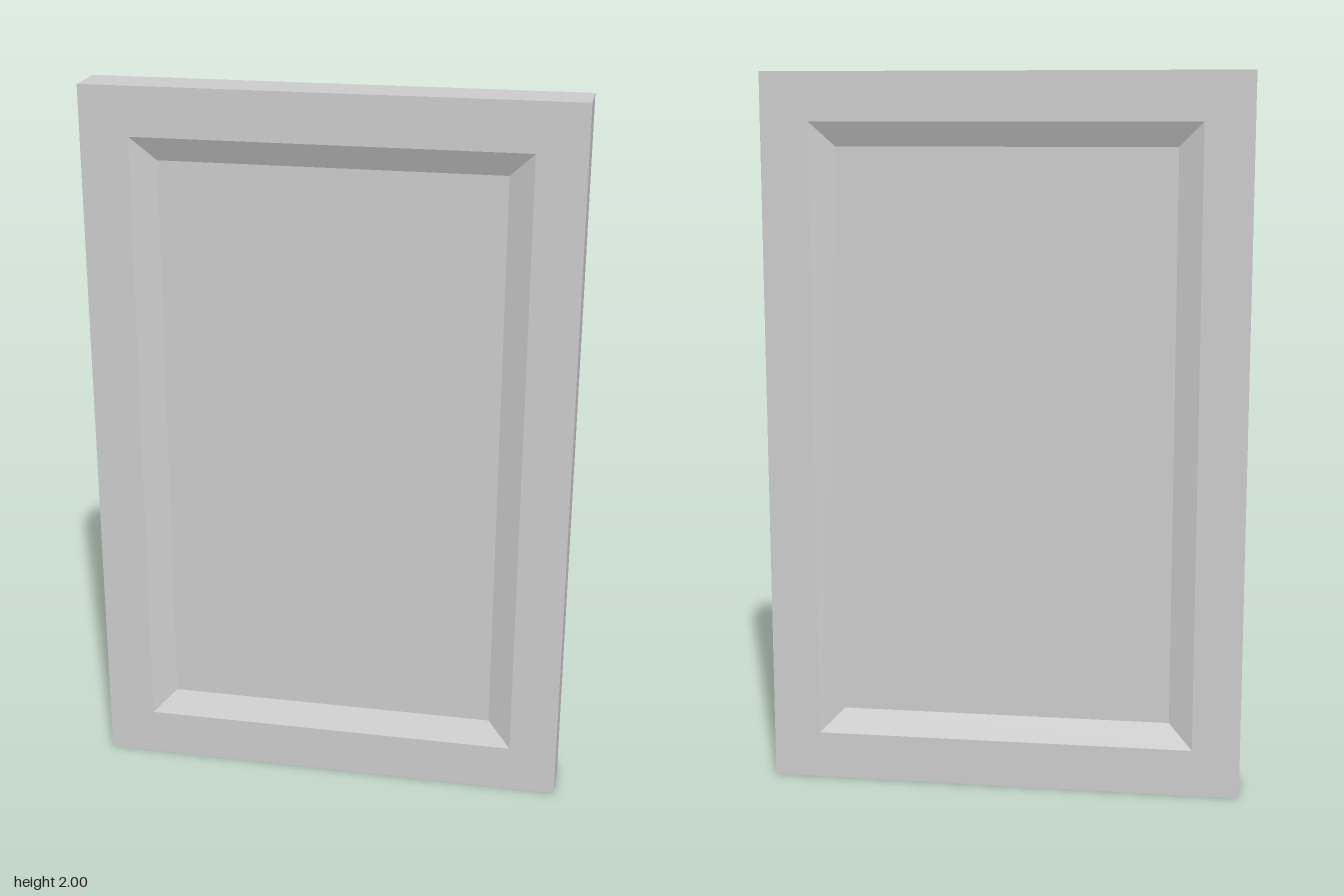
import * as THREE from 'three';

const W = 4 / 3, H = 2, T = 2 / 15; // overall width, height, thickness

// Rectangular ring of corners, counter-clockwise seen from the front
function ring(inset, z) {
  const x = W / 2 - inset, y0 = inset, y1 = H - inset;
  return [[-x, y0, z], [x, y0, z], [x, y1, z], [-x, y1, z]];
}

// Flat-shaded mesh from a list of four-cornered faces
function quadMesh(name, quads, material) {
  const pos = [];
  for (const [a, b, c, d] of quads) pos.push(...a, ...b, ...c, ...a, ...c, ...d);
  const geometry = new THREE.BufferGeometry();
  geometry.setAttribute('position', new THREE.Float32BufferAttribute(pos, 3));
  geometry.computeVertexNormals();
  const mesh = new THREE.Mesh(geometry, material);
  mesh.name = name;
  return mesh;
}

// Faces joining each ring to the next
function loft(rings) {
  const quads = [];
  for (let i = 0; i < rings.length - 1; i++) {
    const a = rings[i], b = rings[i + 1];
    for (let k = 0; k < 4; k++) {
      const n = (k + 1) % 4;
      quads.push([a[k], b[k], b[n], a[n]]);
    }
  }
  return quads;
}

export function createModel() {
  const group = new THREE.Group();
  group.name = 'panelDoor';
  const material = new THREE.MeshStandardMaterial({ color: 0xcccccc, flatShading: true });

  const border = 2 / 15, bevelEnd = 0.2; // insets of the recess edge and the panel edge
  const face = T / 2, sunk = T / 4;      // depth of the frame face and the sunk panel

  const frontPanel = ring(bevelEnd, sunk), frontLip = ring(border, face);
  const backLip = ring(border, -face), backPanel = ring(bevelEnd, -sunk);

  // Flat border on both sides plus the outer edges
  group.add(quadMesh('frame', loft([frontLip, ring(0, face), ring(0, -face), backLip]), material));
  // Sloped moulding down to the panel, front and back
  group.add(quadMesh('frontBevel', loft([frontPanel, frontLip]), material));
  group.add(quadMesh('backBevel', loft([backLip, backPanel]), material));
  // Sunk panels
  group.add(quadMesh('frontPanel', [frontPanel], material));
  group.add(quadMesh('backPanel', [[...backPanel].reverse()], material));
  return group;
}
